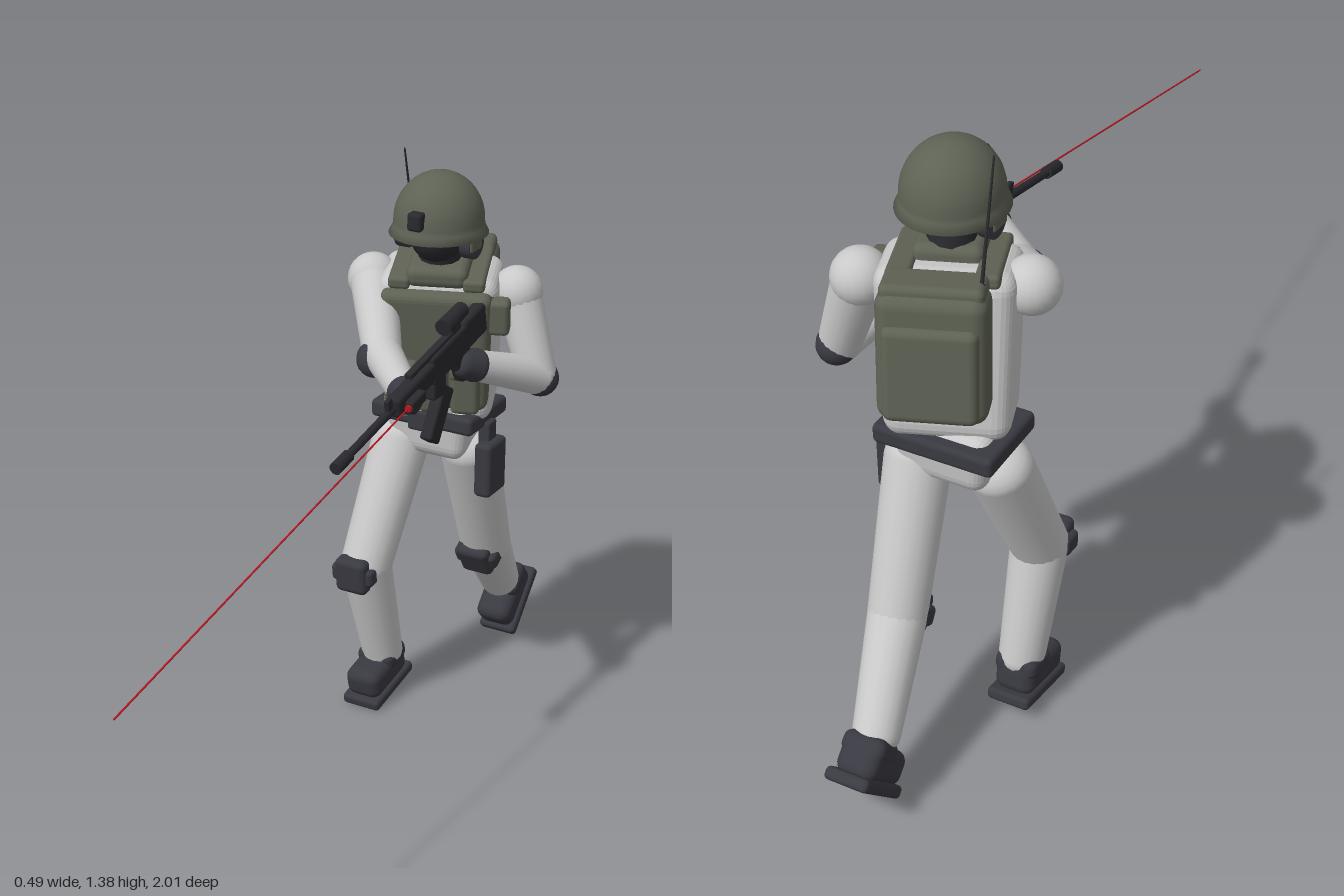
import * as THREE from 'three';
import { RoundedBoxGeometry } from 'three/addons/geometries/RoundedBoxGeometry.js';

const V = (x, y, z) => new THREE.Vector3(x, y, z);
const UP = V(0, 1, 0);

export function createModel() {
  const material = (name, color) => {
    const m = new THREE.MeshStandardMaterial({ color });
    m.name = name;
    return m;
  };
  const suit = material('lightGreySuit', 0xc9c9c9);
  const green = material('fieldGreen', 0x5e6254);
  const dark = material('darkPadding', 0x393941);
  const black = material('gunBlack', 0x29292e);
  const red = material('laserRed', 0xc01822);

  const model = new THREE.Group();
  model.name = 'runningSoldier';

  const add = (parent, name, geometry, mat, pos = [0, 0, 0], rot = [0, 0, 0]) => {
    const mesh = new THREE.Mesh(geometry, mat);
    mesh.name = name;
    mesh.position.set(...pos);
    mesh.rotation.set(...rot);
    parent.add(mesh);
    return mesh;
  };

  // Rounded block whose lower end is scaled by "taper"
  const block = (w, h, d, r = 0.01, taper = 1) => {
    const g = new RoundedBoxGeometry(w, h, d, 3, r);
    const p = g.attributes.position;
    if (taper !== 1) {
      for (let i = 0; i < p.count; i++) {
        const k = THREE.MathUtils.lerp(taper, 1, p.getY(i) / h + 0.5);
        p.setX(i, p.getX(i) * k);
        p.setZ(i, p.getZ(i) * k);
      }
      g.computeVertexNormals();
    }
    return g;
  };

  // Tapered limb with rounded ends, running from a to b
  const limb = (parent, name, a, b, r1, r2, mat) => {
    const len = a.distanceTo(b);
    const points = [];
    for (let i = 0; i <= 6; i++) {
      const t = (i / 6) * Math.PI / 2;
      points.push(new THREE.Vector2(r1 * Math.sin(t), -r1 * 0.8 * Math.cos(t)));
    }
    for (let i = 0; i <= 6; i++) {
      const t = (i / 6) * Math.PI / 2;
      points.push(new THREE.Vector2(r2 * Math.cos(t), len + r2 * 0.8 * Math.sin(t)));
    }
    const mesh = add(parent, name, new THREE.LatheGeometry(points, 20), mat, a.toArray());
    mesh.quaternion.setFromUnitVectors(UP, b.clone().sub(a).normalize());
  };

  // Thin straight rod from a to b
  const rod = (parent, name, a, b, r1, r2, mat) => {
    const mesh = add(parent, name, new THREE.CylinderGeometry(r2, r1, a.distanceTo(b), 12), mat,
      a.clone().add(b).multiplyScalar(0.5).toArray());
    mesh.quaternion.setFromUnitVectors(UP, b.clone().sub(a).normalize());
  };

  // Legs: hip, knee, ankle, then boot and knee pad placement
  const legs = [
    { side: 'right', hip: V(-0.145, 0.66, -0.545), knee: V(-0.165, 0.375, -0.415), ankle: V(-0.157, 0.11, -0.485),
      boot: [-0.16, 0.058, -0.465], pitch: 0.2, pad: [-0.172, 0.365, -0.365], padPitch: 0.1 },
    { side: 'left', hip: V(0.018, 0.66, -0.585), knee: V(0.004, 0.35, -0.715), ankle: V(-0.035, 0.17, -0.88),
      boot: [-0.035, 0.11, -0.915], pitch: 0.82, pad: [0.002, 0.325, -0.672], padPitch: 0.55 },
  ];
  for (const l of legs) {
    limb(model, l.side + 'Thigh', l.hip, l.knee, 0.07, 0.062, suit);
    limb(model, l.side + 'Shin', l.knee, l.ankle, 0.062, 0.05, suit);
    const boot = new THREE.Group();
    boot.name = l.side + 'Boot';
    boot.position.set(...l.boot);
    boot.rotation.x = l.pitch;
    model.add(boot);
    add(boot, 'bootUpper', block(0.092, 0.075, 0.16, 0.025), dark, [0, 0.01, 0.004]);
    add(boot, 'bootCuff', block(0.098, 0.05, 0.09, 0.02), dark, [0, 0.038, -0.03]);
    add(boot, 'bootSole', block(0.1, 0.028, 0.185, 0.01), dark, [0, -0.034, 0.002]);
    const pad = new THREE.Group();
    pad.name = l.side + 'KneePad';
    pad.position.set(...l.pad);
    pad.rotation.x = l.padPitch;
    model.add(pad);
    add(pad, 'padShell', block(0.084, 0.09, 0.045, 0.016), dark);
    add(pad, 'padWings', block(0.112, 0.045, 0.055, 0.012), dark, [0, 0, -0.015]);
  }

  // Hips, belt and holster
  add(model, 'pelvis', block(0.235, 0.14, 0.165, 0.035, 0.8), suit, [-0.058, 0.715, -0.57]);
  add(model, 'belt', block(0.268, 0.044, 0.19, 0.012), dark, [-0.06, 0.752, -0.575]);
  add(model, 'beltBuckle', block(0.056, 0.052, 0.02, 0.008), dark, [-0.06, 0.75, -0.477]);
  add(model, 'holster', block(0.044, 0.135, 0.09, 0.012), dark, [0.084, 0.632, -0.565]);
  add(model, 'holsterStrap', block(0.03, 0.07, 0.04, 0.006), dark, [0.072, 0.71, -0.57]);

  // Torso, turned to its left and leaning forward
  const torso = new THREE.Group();
  torso.name = 'torso';
  torso.position.set(-0.05, 0.78, -0.565);
  torso.rotation.set(0.12, 0.36, 0, 'YXZ');
  model.add(torso);
  add(torso, 'chest', block(0.28, 0.37, 0.19, 0.04, 0.9), suit, [0, 0.16, 0]);
  add(torso, 'vestPlate', block(0.255, 0.295, 0.09, 0.022, 0.94), green, [0, 0.175, 0.075]);
  add(torso, 'vestCollar', block(0.14, 0.05, 0.13, 0.02), green, [0, 0.35, 0.03]);
  for (const i of [-1, 0, 1]) {
    add(torso, 'ammoPouch', block(0.066, 0.115, 0.05, 0.014), green, [i * 0.073, 0.095, 0.128]);
    add(torso, 'pouchFlap', block(0.07, 0.03, 0.056, 0.01), green, [i * 0.073, 0.142, 0.128]);
  }
  for (const s of [-1, 1]) {
    add(torso, 'shoulderStrap', block(0.05, 0.03, 0.2, 0.01), green, [s * 0.085, 0.338, 0]);
  }
  add(torso, 'shoulderPouch', block(0.055, 0.085, 0.045, 0.012), green, [0.14, 0.265, 0.085]);

  // Backpack with antenna
  add(torso, 'backpack', block(0.215, 0.27, 0.1, 0.03), green, [0.01, 0.205, -0.135]);
  add(torso, 'backpackPocket', block(0.185, 0.2, 0.04, 0.018), green, [0.01, 0.18, -0.18]);
  add(torso, 'backpackLid', block(0.2, 0.04, 0.09, 0.015), green, [0.01, 0.335, -0.125]);
  rod(model, 'antennaBase', V(-0.158, 1.08, -0.64), V(-0.156, 1.145, -0.617), 0.008, 0.006, black);
  rod(model, 'antenna', V(-0.156, 1.13, -0.622), V(-0.143, 1.375, -0.54), 0.004, 0.002, black);

  // Head in a face mask
  rod(model, 'neck', V(-0.033, 1.08, -0.52), V(-0.025, 1.19, -0.495), 0.05, 0.048, black);
  add(model, 'maskedHead', new THREE.SphereGeometry(0.068, 24, 16), black, [-0.025, 1.215, -0.488]).scale.set(0.95, 1.05, 1.08);
  add(model, 'goggles', block(0.115, 0.045, 0.06, 0.016), dark, [-0.025, 1.222, -0.43]);

  // Helmet dome with a slightly flared rim
  const dome = [[0.098, -0.035], [0.112, -0.03], [0.103, -0.012]].map(p => new THREE.Vector2(...p));
  for (let i = 0; i <= 10; i++) {
    const t = (i / 10) * Math.PI / 2;
    dome.push(new THREE.Vector2(0.102 * Math.cos(t), 0.11 * Math.sin(t)));
  }
  const inner = [[0.001, 0.05], [0.08, 0.03], [0.098, -0.035]].map(p => new THREE.Vector2(...p));
  const helmet = new THREE.Group();
  helmet.name = 'helmet';
  helmet.position.set(-0.025, 1.243, -0.49);
  helmet.scale.z = 1.06;
  model.add(helmet);
  add(helmet, 'helmetDome', new THREE.LatheGeometry(dome, 32), green);
  const lining = add(helmet, 'helmetLining', new THREE.LatheGeometry(inner.reverse(), 32), green);
  lining.material = green.clone();
  lining.material.name = 'helmetLiningGreen';
  lining.material.side = THREE.DoubleSide;
  add(helmet, 'visionMount', block(0.036, 0.042, 0.03, 0.008), black, [0, 0.022, 0.1]);
  for (const s of [-1, 1]) {
    const cup = add(helmet, 'earCup', new THREE.CylinderGeometry(0.034, 0.034, 0.026, 20), dark, [s * 0.083, -0.045, 0]);
    cup.rotation.z = Math.PI / 2;
    add(helmet, 'earGuard', block(0.022, 0.05, 0.05, 0.007), green, [s * 0.09, -0.035, 0.005]);
  }

  // Arms: shoulder, elbow, wrist
  const arms = [
    { side: 'right', a: V(-0.19, 1.075, -0.485), b: V(-0.065, 0.975, -0.305), c: V(0.07, 0.955, -0.165), pad: [-0.075, 0.962, -0.292] },
    { side: 'left', a: V(0.125, 1.065, -0.595), b: V(0.193, 0.88, -0.575), c: V(0.115, 0.945, -0.41), pad: [0.198, 0.872, -0.582] },
  ];
  for (const m of arms) {
    add(model, m.side + 'Shoulder', new THREE.SphereGeometry(0.06, 20, 14), suit, m.a.toArray());
    limb(model, m.side + 'UpperArm', m.a, m.b, 0.055, 0.045, suit);
    limb(model, m.side + 'Forearm', m.b, m.c, 0.045, 0.035, suit);
    add(model, m.side + 'ElbowPad', new THREE.SphereGeometry(0.043, 18, 12), dark, m.pad);
    const tip = m.c.clone().add(m.c.clone().sub(m.b).normalize().multiplyScalar(0.035));
    limb(model, m.side + 'Glove', m.c, tip, 0.039, 0.033, dark);
  }

  // Rifle, muzzle pointing forward and down
  const rifle = new THREE.Group();
  rifle.name = 'rifle';
  rifle.position.set(0.095, 0.992, -0.25);
  rifle.rotation.x = 0.195;
  model.add(rifle);
  add(rifle, 'receiver', block(0.034, 0.07, 0.17, 0.008), black, [0, 0.0, -0.06]);
  add(rifle, 'stock', block(0.032, 0.075, 0.15, 0.01), black, [0, 0.004, -0.2]);
  add(rifle, 'buttPad', block(0.034, 0.095, 0.025, 0.008), dark, [0, -0.006, -0.27]);
  add(rifle, 'handguard', block(0.036, 0.048, 0.17, 0.01), black, [0, 0, 0.1]);
  rod(rifle, 'barrel', V(0, 0, 0.16), V(0, 0, 0.43), 0.01, 0.009, black);
  rod(rifle, 'muzzleBrake', V(0, 0, 0.375), V(0, 0, 0.43), 0.014, 0.014, black);
  add(rifle, 'frontSight', block(0.012, 0.03, 0.02, 0.003), black, [0, 0.018, 0.2]);
  add(rifle, 'topRail', block(0.018, 0.012, 0.22, 0.003), black, [0, 0.037, 0]);
  add(rifle, 'scopeMount', block(0.02, 0.03, 0.04, 0.004), black, [0, 0.045, -0.1]);
  rod(rifle, 'scope', V(0, 0.066, -0.145), V(0, 0.066, -0.055), 0.018, 0.02, black);
  add(rifle, 'pistolGrip', block(0.028, 0.08, 0.036, 0.008), black, [0, -0.06, -0.11], [0.35, 0, 0]);
  add(rifle, 'magazineWell', block(0.03, 0.05, 0.055, 0.006), black, [0, -0.05, 0], [-0.2, 0, 0]);
  add(rifle, 'magazine', block(0.03, 0.13, 0.05, 0.006), black, [-0.004, -0.125, -0.004], [-0.75, 0, 0]);
  add(rifle, 'foreGrip', block(0.026, 0.045, 0.03, 0.008), black, [0, -0.035, 0.1]);

  // Laser pointer and its beam
  add(rifle, 'laserHousing', block(0.022, 0.026, 0.06, 0.005), black, [0.026, -0.006, 0.13]);
  rod(rifle, 'laserLens', V(0.026, -0.006, 0.155), V(0.026, -0.006, 0.166), 0.008, 0.008, red);
  rod(rifle, 'laserBeam', V(0.025, -0.006, 0.16), V(0.025, -0.006, 1.275), 0.002, 0.002, red);

  return model;
}
